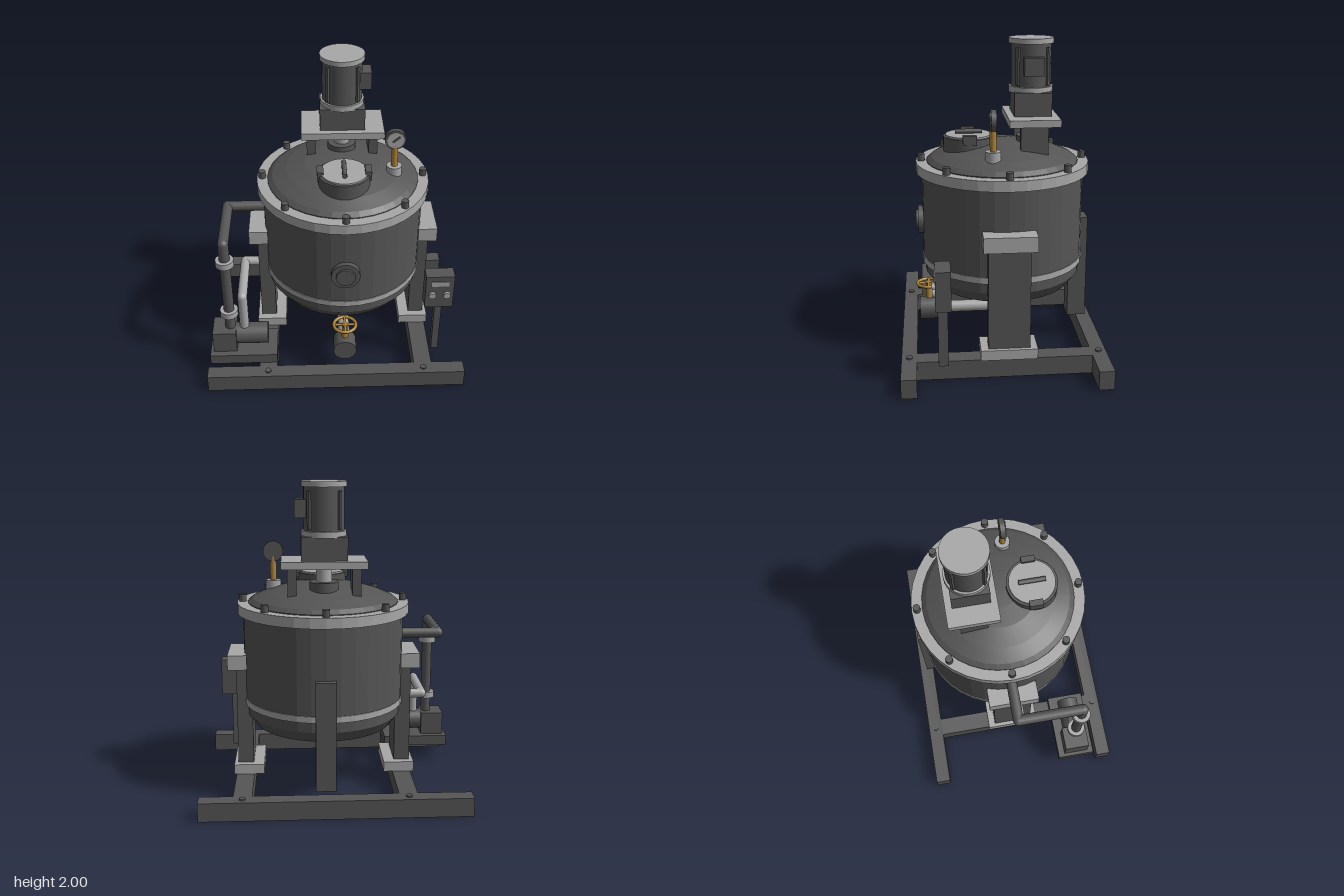
import * as THREE from 'three';
import { toCreasedNormals } from 'three/addons/utils/BufferGeometryUtils.js';

const make = (name, color) => {
  const m = new THREE.MeshStandardMaterial({ color });
  m.name = name;
  return m;
};

export function createModel() {
  const dark = make('dark steel', 0x555555);
  const light = make('light steel', 0xa8a8a8);
  const brass = make('brass', 0xb08538);
  const root = new THREE.Group();
  root.name = 'mixingTank';
  const CX = 0.06, CZ = -0.03; // tank axis

  const add = (name, geo, mat, x = 0, y = 0, z = 0) => {
    const m = new THREE.Mesh(geo, mat);
    m.name = name;
    m.position.set(x, y, z);
    root.add(m);
    return m;
  };
  // Box given by its limits on each axis
  const box = (name, mat, x0, x1, y0, y1, z0, z1) =>
    add(name, new THREE.BoxGeometry(x1 - x0, y1 - y0, z1 - z0), mat,
      (x0 + x1) / 2, (y0 + y1) / 2, (z0 + z1) / 2);
  // Upright cylinder between two heights
  const cyl = (name, mat, r, y0, y1, x, z, seg = 24) =>
    add(name, new THREE.CylinderGeometry(r, r, y1 - y0, seg), mat, x, (y0 + y1) / 2, z);
  // Cylinder between two points
  const rod = (name, mat, r, a, b, seg = 16) => {
    const p = new THREE.Vector3(...a), q = new THREE.Vector3(...b);
    const d = q.clone().sub(p);
    const m = add(name, new THREE.CylinderGeometry(r, r, d.length(), seg), mat);
    m.position.copy(p).add(q).multiplyScalar(0.5);
    m.quaternion.setFromUnitVectors(new THREE.Vector3(0, 1, 0), d.normalize());
    return m;
  };
  // Pipe run with rounded elbows
  const pipe = (name, mat, r, pts) => {
    for (let i = 0; i + 1 < pts.length; i++) {
      rod(name, mat, r, pts[i], pts[i + 1]);
      if (i) add(name + 'Elbow', new THREE.SphereGeometry(r, 16, 10), mat, ...pts[i]);
    }
  };
  const lathe = (name, mat, pts) =>
    add(name, toCreasedNormals(new THREE.LatheGeometry(
      pts.map(p => new THREE.Vector2(...p)), 36), 0.1), mat, CX, 0, CZ);

  // Base frame
  box('rearRail', dark, -0.84, 0.84, 0, 0.12, -0.635, -0.54);
  box('frontRail', dark, -0.84, 0.84, 0, 0.12, 0.535, 0.63);
  for (const x of [-0.445, 0.573]) {
    box('crossMember', dark, x - 0.058, x + 0.058, 0, 0.12, -0.54, 0.535);
    for (const z of [-0.587, 0.582]) cyl('frameBolt', dark, 0.02, 0.12, 0.13, x, z, 12);
  }

  // Tank body, band, flange and domed lid
  lathe('tankBody', dark, [[0, 0.357], [0.13, 0.362], [0.25, 0.38], [0.36, 0.41],
    [0.445, 0.44], [0.5, 0.515], [0.502, 0.6], [0.513, 0.6], [0.513, 1.18]]);
  lathe('tankBand', light, [[0.49, 0.582], [0.518, 0.582], [0.518, 0.622], [0.49, 0.622]]);
  lathe('tankFlange', light, [[0.5, 1.17], [0.548, 1.17], [0.548, 1.235], [0.46, 1.235]]);
  lathe('tankLid', dark, [[0.48, 1.225], [0.48, 1.24], [0.45, 1.265], [0.36, 1.303],
    [0.24, 1.338], [0.12, 1.355], [0, 1.36]]);
  for (let i = 0; i < 8; i++) {
    const a = i * Math.PI / 4;
    cyl('flangeBolt', dark, 0.023, 1.23, 1.28, CX + 0.513 * Math.cos(a), CZ + 0.513 * Math.sin(a), 12);
  }

  // Side supports and rear leg
  for (const s of [-1, 1]) {
    const span = (name, mat, a, b, ...rest) =>
      box(name, mat, CX + Math.min(s * a, s * b), CX + Math.max(s * a, s * b), ...rest);
    span('sideLeg', dark, 0.46, 0.56, 0.18, 0.83, -0.155, 0.1);
    span('supportLug', light, 0.49, 0.612, 0.82, 0.915, -0.19, 0.132);
    span('footPlate', light, 0.39, 0.585, 0.12, 0.185, -0.2, 0.148);
  }
  box('rearLeg', dark, 0, 0.125, 0.16, 0.845, -0.585, -0.465);

  // Sight glass
  rod('sightGlassRim', dark, 0.09, [CX, 0.845, 0.45], [CX, 0.845, 0.512], 28);
  rod('sightGlass', dark, 0.06, [CX, 0.845, 0.5], [CX, 0.845, 0.526], 28);

  // Manhole with clamps and handle
  const MZ = 0.182;
  cyl('manholeNeck', dark, 0.16, 1.28, 1.392, CX, MZ, 32);
  cyl('manholeCover', light, 0.145, 1.39, 1.403, CX, MZ, 32);
  for (const s of [-1, 1])
    box('manholeClamp', dark, CX + s * 0.147 - 0.02, CX + s * 0.147 + 0.02, 1.36, 1.42, MZ - 0.043, MZ + 0.043);
  rod('manholeHandle', dark, 0.015, [CX, 1.418, MZ - 0.085], [CX, 1.418, MZ + 0.085], 12);

  // Agitator drive: supports, shaft, gearbox and motor
  const DZ = -0.21;
  for (const s of [-1, 1])
    box('driveSupport', dark, CX + s * 0.198 - 0.028, CX + s * 0.198 + 0.028, 1.28, 1.49, DZ - 0.085, DZ + 0.085);
  box('drivePlate', light, -0.2, 0.323, 1.485, 1.53, DZ - 0.157, DZ + 0.157);
  cyl('shaftCollar', dark, 0.09, 1.3, 1.39, CX, DZ);
  cyl('agitatorShaft', light, 0.048, 1.38, 1.49, CX, DZ);
  box('gearbox', dark, -0.081, 0.201, 1.53, 1.675, DZ - 0.116, DZ + 0.116);
  cyl('motorLowerCap', light, 0.138, 1.668, 1.705, CX, DZ, 28);
  cyl('motorBody', dark, 0.125, 1.7, 1.97, CX, DZ, 28);
  cyl('motorUpperCap', light, 0.14, 1.968, 2, CX, DZ, 28);
  for (let i = 0; i < 4; i++) {
    const a = Math.PI / 4 + i * Math.PI / 2;
    const fin = add('motorFin', new THREE.BoxGeometry(0.03, 0.23, 0.02), dark,
      CX + 0.124 * Math.cos(a), 1.83, DZ + 0.124 * Math.sin(a));
    fin.rotation.y = -a;
  }
  box('terminalBox', dark, 0.165, 0.24, 1.782, 1.892, DZ - 0.06, DZ + 0.06);

  // Pressure gauge
  const GX = 0.378, GZ = 0.052, GY = 1.545;
  cyl('gaugeSocket', light, 0.048, 1.25, 1.36, GX, GZ);
  cyl('gaugeStem', brass, 0.02, 1.35, 1.51, GX, GZ, 12);
  rod('gaugeCase', dark, 0.065, [GX, GY, GZ - 0.018], [GX, GY, GZ + 0.015], 28);
  rod('gaugeFace', light, 0.053, [GX, GY, GZ + 0.012], [GX, GY, GZ + 0.019], 28);
  const needle = add('gaugeNeedle', new THREE.BoxGeometry(0.06, 0.012, 0.006), dark, GX + 0.006, GY + 0.006, GZ + 0.021);
  needle.rotation.z = 0.7;

  // Control box on its post
  box('controlPost', dark, 0.645, 0.69, 0.12, 0.51, 0.345, 0.405);
  box('controlBox', dark, 0.575, 0.757, 0.5, 0.748, 0.325, 0.418);
  box('controlDisplay', light, 0.612, 0.724, 0.675, 0.71, 0.416, 0.424);
  for (const x of [0.62, 0.714])
    rod('controlKnob', light, 0.023, [x, 0.605, 0.41], [x, 0.605, 0.436], 16);

  // Drain pipe, valve and handwheel
  const VZ = 0.455;
  pipe('drainPipe', light, 0.038, [[CX, 0.4, CZ], [CX, 0.225, CZ], [CX, 0.225, 0.42]]);
  rod('valveBody', dark, 0.075, [CX, 0.222, 0.4], [CX, 0.222, 0.515], 24);
  cyl('valveStem', brass, 0.02, 0.28, 0.405, CX, VZ, 12);
  const wheel = add('handwheel', new THREE.TorusGeometry(0.072, 0.011, 8, 28), brass, CX, 0.398, VZ);
  wheel.rotation.x = Math.PI / 2;
  for (let i = 0; i < 2; i++) {
    const dx = i ? 0.07 : 0, dz = i ? 0 : 0.07;
    rod('handwheelSpoke', brass, 0.009, [CX - dx, 0.398, VZ - dz], [CX + dx, 0.398, VZ + dz], 8);
  }

  // Pump unit
  const PZ = 0.382;
  box('pumpBase', dark, -0.825, -0.385, 0.12, 0.19, 0.257, 0.505);
  box('pumpHousing', dark, -0.803, -0.65, 0.19, 0.345, 0.3, 0.464);
  rod('pumpMotor', dark, 0.071, [-0.66, 0.28, PZ], [-0.443, 0.28, PZ], 24);

  // Feed pipe with couplings, and return pipe
  pipe('feedPipe', dark, 0.034, [[-0.4, 1.015, CZ], [-0.69, 1.015, CZ], [-0.69, 1.015, PZ], [-0.69, 0.33, PZ]]);
  for (const y of [0.468, 0.875]) cyl('pipeCoupling', light, 0.058, y - 0.021, y + 0.021, -0.69, PZ);
  pipe('returnPipe', light, 0.031, [[-0.42, 0.59, 0.01], [-0.598, 0.59, 0.01], [-0.598, 0.59, PZ], [-0.598, 0.34, PZ]]);

  return root;
}
